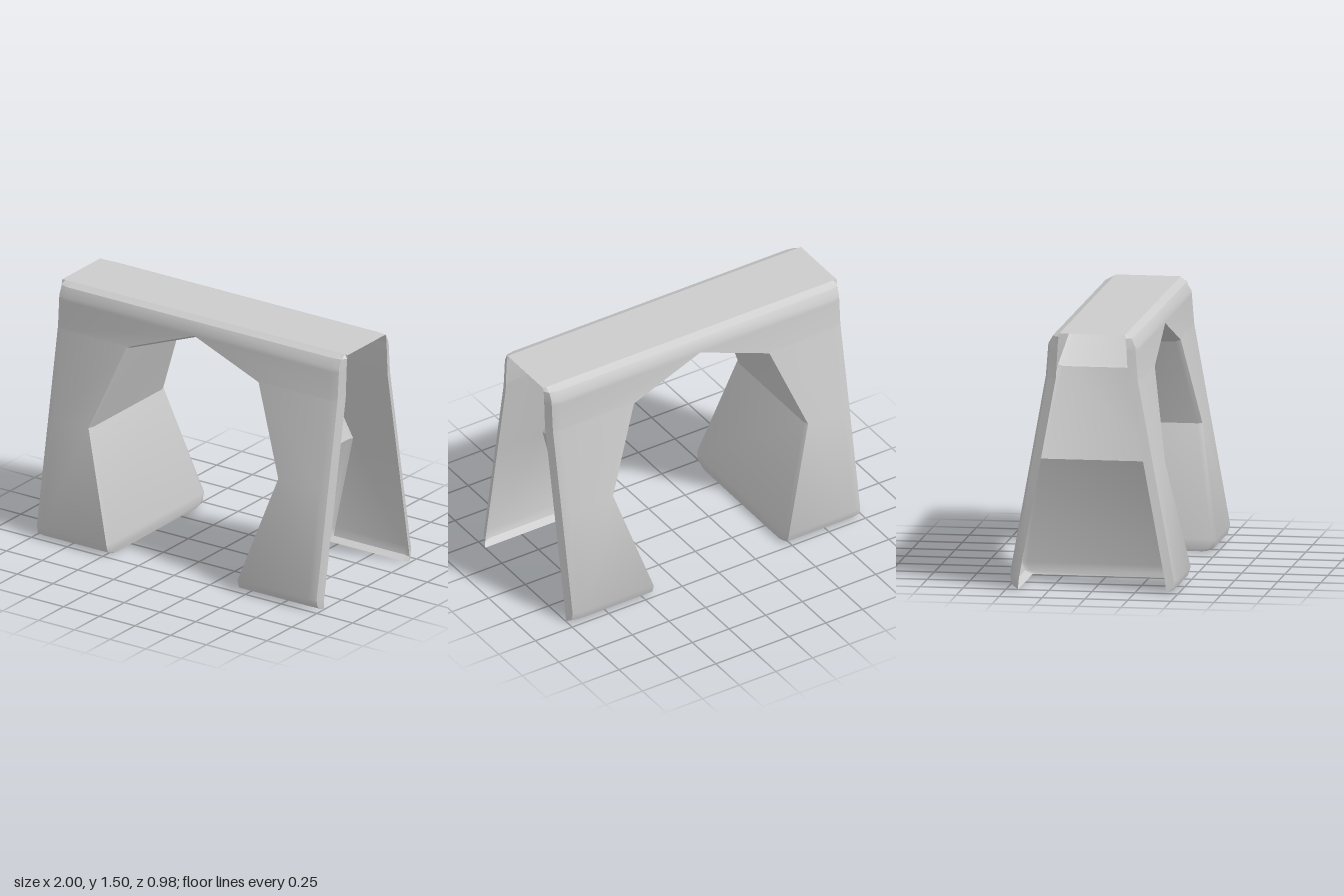
import * as THREE from 'three';
import { toCreasedNormals } from 'three/addons/utils/BufferGeometryUtils.js';

const CX = -0.0225; // centre line of the arch
const APEX = 1.405;

// profiles as [y, value]: sheet depth, depth of the folded side edge, half width of the arch
const OUTER = [[0, 0.43], [0.02, 0.475], [0.07, 0.49], [1.24, 0.28], [1.43, 0.265], [1.48, 0.235], [1.5, 0.19]];
const FOLD = [[0, 0.43], [0.02, 0.43], [0.07, 0.425], [1.24, 0.21], [1.43, 0.2], [1.48, 0.195], [1.5, 0.19]];
const ARCH = [[0, 0.46], [0.07, 0.46], [0.71, 0.665], [1.23, 0.462], [APEX, 0], [1.5, 0]];
const LEVELS = [0, 0.02, 0.07, 0.71, 1.23, 1.24, APEX, 1.43, 1.48, 1.5];

function sample(profile, y) {
  for (let i = 1; i < profile.length; i++) {
    const [y0, v0] = profile[i - 1], [y1, v1] = profile[i];
    if (y <= y1) return v0 + (v1 - v0) * (y - y0) / (y1 - y0);
  }
  return profile[profile.length - 1][1];
}

// surface through rows of points
function surface(name, rows, flip, material) {
  const n = rows[0].length, index = [];
  for (let i = 0; i < rows.length - 1; i++) {
    for (let j = 0; j < n - 1; j++) {
      const a = i * n + j, b = a + 1, c = b + n, d = a + n;
      if (flip) index.push(a, c, b, a, d, c);
      else index.push(a, b, c, a, c, d);
    }
  }
  const geometry = new THREE.BufferGeometry();
  geometry.setAttribute('position', new THREE.Float32BufferAttribute(rows.flat(2), 3));
  geometry.setIndex(index);
  const mesh = new THREE.Mesh(toCreasedNormals(geometry, 0.6), material);
  mesh.name = name;
  return mesh;
}

export function createModel() {
  const group = new THREE.Group();
  group.name = 'archway';
  const material = new THREE.MeshStandardMaterial({ color: 0xcccccc, side: THREE.DoubleSide });

  // sloping front and back sheets, each in two halves with a folded outer edge
  for (const f of [1, -1]) {
    for (const s of [-1, 1]) {
      const rows = LEVELS.map((y) => {
        const z = sample(OUTER, y), fold = sample(FOLD, y);
        return [
          [s, y, f * fold],
          [s * 0.98, y, f * (z + 0.25 * (fold - z))],
          [s * 0.93, y, f * z],
          [CX + s * sample(ARCH, y), y, f * z],
        ];
      });
      const name = (f > 0 ? 'front' : 'back') + (s > 0 ? 'Left' : 'Right') + 'Wall';
      group.add(surface(name, rows, s * f > 0, material));
    }
  }

  // tunnel lining under the arch, with a narrow bevel at both rims
  const ys = LEVELS.filter((y) => y <= APEX);
  const path = [
    ...ys.map((y) => [-sample(ARCH, y), y]),
    ...ys.slice(0, -1).reverse().map((y) => [sample(ARCH, y), y]),
  ];
  const lining = path.map(([dx, y]) => {
    const z = sample(OUTER, y), x = CX + dx, xi = CX + dx * 0.983;
    const yi = y > 0.71 ? 0.71 + (y - 0.71) * 0.977 : y;
    return [[x, y, z], [xi, yi, z - 0.03], [xi, yi, 0.03 - z], [x, y, -z]];
  });
  group.add(surface('archLining', lining, false, material));

  // flat roof joining the two sheets
  const roof = [0.19, -0.19].map((z) => [[-1, 1.5, z], [1, 1.5, z]]);
  group.add(surface('roof', roof, false, material));

  return group;
}
